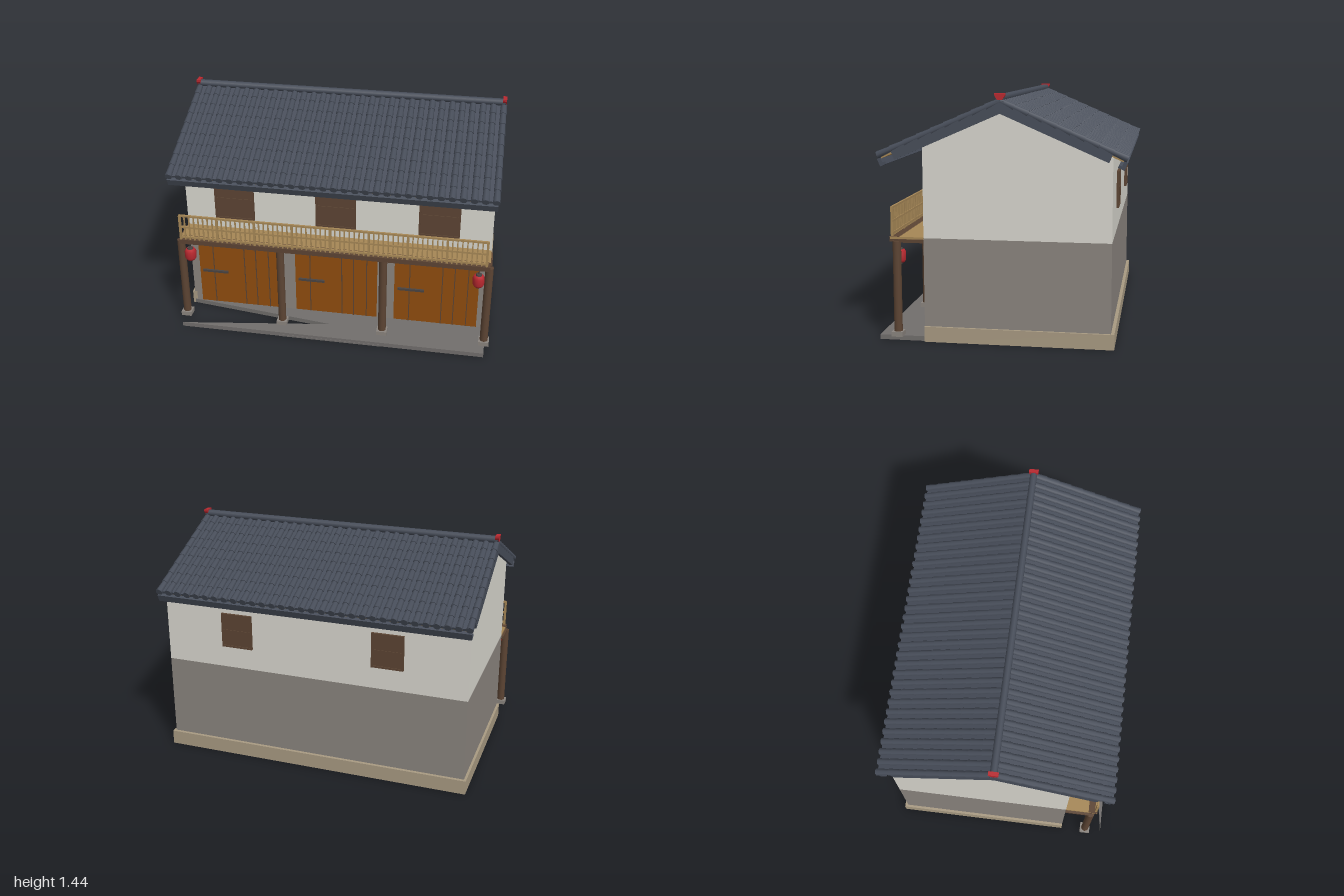
import * as THREE from 'three';
import { mergeGeometries } from 'three/addons/utils/BufferGeometryUtils.js';

const mat = (name, color, side = THREE.FrontSide) => {
  const m = new THREE.MeshStandardMaterial({ color, side });
  m.name = name;
  return m;
};

export function createModel() {
  const plaster = mat('plaster', 0xd8d6ce);
  const stone = mat('grey stone', 0x8a847e);
  const tan = mat('tan plinth stone', 0xa89a82);
  const paving = mat('paving', 0x716e6c);
  const tile = mat('slate tile', 0x474d59);
  const wood = mat('dark wood', 0x5c4433);
  const orange = mat('door wood', 0x8f4c0e);
  const ochre = mat('ochre wood', 0xa68756);
  const red = mat('red lacquer', 0xb8282f);
  const iron = mat('iron', 0x4a4442);

  const model = new THREE.Group();
  model.name = 'house';

  const add = (name, geometry, material, parent = model) => {
    const m = new THREE.Mesh(geometry, material);
    m.name = name;
    parent.add(m);
    return m;
  };
  // Box given by its limits on each axis
  const span = (x0, x1, y0, y1, z0, z1) =>
    new THREE.BoxGeometry(x1 - x0, y1 - y0, z1 - z0)
      .translate((x0 + x1) / 2, (y0 + y1) / 2, (z0 + z1) / 2);
  const outline = (pts) => new THREE.Shape(pts.map(([a, b]) => new THREE.Vector2(a, b)));
  const extrude = (shape, depth) => new THREE.ExtrudeGeometry(shape, { depth, bevelEnabled: false });
  // Profile of [z, y] points swept along x, centred on x = 0
  const sweepX = (pts, length) =>
    extrude(outline(pts), length).rotateY(-Math.PI / 2).translate(length / 2, 0, 0);
  // Plan of [x, z] points, standing on y = 0
  const slab = (pts, height) =>
    extrude(outline(pts), height).rotateX(Math.PI / 2).translate(0, height, 0);

  const W = 0.97, BACK = -0.63, FRONT = 0.45, PITCH = 0.435;
  const doorX = [-0.65, -0.005, 0.642];
  const columnX = [-0.97, -0.33, 0.32, 0.965];

  // Ground floor and terrace, each with a wedge left open on the right-hand end
  add('groundFloor', slab([[-W, BACK], [W, BACK], [W, FRONT], [-W, FRONT], [-0.03, -0.08]], 0.008), wood);
  add('terrace', slab([[-W, FRONT], [W, FRONT], [W, 0.72], [-W, 0.72], [-0.02, 0.58]], 0.028), paving);
  add('step', span(-0.33, 0.32, 0, 0.012, 0.66, 0.722), paving);

  // Plinth
  add('plinth', mergeGeometries([
    span(-0.985, 0.985, 0, 0.09, -0.65, BACK),
    span(-0.985, -0.955, 0, 0.09, BACK, FRONT),
    span(0.955, 0.985, 0, 0.09, BACK, FRONT),
  ]), tan);

  // Lower walls, the front one with three door openings
  add('lowerWalls', mergeGeometries([
    span(-W, W, 0.01, 0.61, BACK, BACK + 0.02),
    span(-W, -W + 0.02, 0.01, 0.61, BACK + 0.02, FRONT),
    span(W - 0.02, W, 0.01, 0.61, BACK + 0.02, FRONT),
  ]), stone);
  const front = outline([[-W, 0], [W, 0], [W, 0.61], [-W, 0.61]]);
  for (const x of doorX) {
    front.holes.push(new THREE.Path([
      [x - 0.268, 0.03], [x - 0.268, 0.515], [x + 0.268, 0.515], [x + 0.268, 0.03],
    ].map(([a, b]) => new THREE.Vector2(a, b))));
  }
  add('frontWall', extrude(front, 0.02).translate(0, 0, FRONT - 0.02), stone);
  add('doorLintel', span(-0.95, 0.95, 0.515, 0.56, FRONT, FRONT + 0.008), wood);

  // Upper storey with gables
  const roofY = (z) => 1.362 - PITCH * Math.abs(z);
  add('upperWalls', sweepX([
    [BACK, 0.61], [FRONT, 0.61], [FRONT, roofY(FRONT)], [0, roofY(0)], [BACK, roofY(BACK)],
  ], 2 * W), plaster);

  // Doors with plank seams and latch bars
  for (const x of doorX) {
    const door = new THREE.Group();
    door.name = 'door';
    door.position.x = x;
    model.add(door);
    add('doorPanel', span(-0.268, 0.268, 0.03, 0.515, FRONT - 0.02, FRONT + 0.002), orange, door);
    add('doorSeams', mergeGeometries([-0.17, 0.038, 0.115, 0.2].map((s) =>
      span(s - 0.003, s + 0.003, 0.03, 0.515, FRONT + 0.002, FRONT + 0.006))), wood, door);
    add('latchBar', span(-0.245, -0.075, 0.265, 0.28, FRONT + 0.002, FRONT + 0.015), iron, door);
  }

  // Shutters: board, frame rails
  const shutter = (name, x, y0, y1, half, turn) => {
    const g = new THREE.Group();
    g.name = name;
    g.position.set(x, 0, turn ? BACK : FRONT);
    g.rotation.y = turn;
    model.add(g);
    const mid = (y0 + y1) / 2;
    add('shutterBoard', span(-half, half, y0, y1, 0, 0.01), wood, g);
    add('shutterFrame', mergeGeometries([
      span(-half, half, y1 - 0.012, y1, 0.01, 0.015),
      span(-half, half, y0, y0 + 0.012, 0.01, 0.015),
      span(-half, half, mid - 0.005, mid + 0.005, 0.01, 0.014),
      span(-half, -half + 0.012, y0, y1, 0.01, 0.015),
      span(half - 0.012, half, y0, y1, 0.01, 0.015),
    ]), wood, g);
  };
  for (const x of [-0.652, -0.003, 0.643]) shutter('frontShutter', x, 0.685, 0.97, 0.127, 0);
  for (const x of [-0.48, 0.49]) shutter('backShutter', x, 0.75, 0.97, 0.1, Math.PI);

  // Porch columns on stone bases
  for (const x of columnX) {
    add('column', new THREE.CylinderGeometry(0.025, 0.025, 0.54, 12).translate(x, 0.32, 0.61), wood);
    add('columnBase', span(x - 0.033, x + 0.033, 0.026, 0.055, 0.577, 0.643), stone);
  }

  // Balcony deck, beams and railing
  add('balconyDeck', span(-W, W, 0.6, 0.614, FRONT, 0.65), ochre);
  add('balconyBeam', span(-W, W, 0.585, 0.615, 0.595, 0.652), wood);
  add('crossBeams', mergeGeometries(columnX.map((x) =>
    span(x - 0.015, x + 0.015, 0.582, 0.601, FRONT, 0.6))), wood);
  const rail = [0.782, 0.703, 0.632].map((y) => span(-0.96, 0.955, y - 0.006, y + 0.006, 0.635, 0.648));
  for (let i = 0; i <= 64; i++) {
    const x = -0.955 + i * 0.0297;
    const r = i % 8 === 0 ? 0.007 : 0.004;
    rail.push(span(x - r, x + r, 0.612, 0.782, 0.642 - r, 0.642 + r));
  }
  add('balconyRailing', mergeGeometries(rail), ochre);

  // Lanterns hung beside the outer columns
  for (const x of [-0.915, 0.905]) {
    add('lantern', new THREE.LatheGeometry([
      [0, 0.45], [0.027, 0.452], [0.036, 0.468], [0.037, 0.512], [0.027, 0.528], [0, 0.53],
    ].map(([r, y]) => new THREE.Vector2(r, y)), 12).translate(x, 0, 0.61), red);
    add('lanternCap', new THREE.CylinderGeometry(0.017, 0.02, 0.012, 10).translate(x, 0.532, 0.61), iron);
    add('lanternCord', new THREE.CylinderGeometry(0.003, 0.003, 0.06, 5).translate(x, 0.56, 0.61), iron);
    add('lanternFoot', new THREE.CylinderGeometry(0.016, 0.014, 0.012, 10).translate(x, 0.447, 0.61), iron);
  }

  // Roof slopes, built flat with +z running down to the eave
  const ribs = [];
  const COUNT = 32, COURSES = 9, LEN = 0.775, step = LEN / COURSES;
  for (let i = 0; i < COUNT; i++) {
    const x = -0.973 + i * (1.946 / (COUNT - 1));
    for (let j = 0; j < COURSES; j++) {
      ribs.push(new THREE.CylinderGeometry(0.018, 0.022, step, 8)
        .rotateX(-Math.PI / 2).translate(x, 0, (j + 0.5) * step));
    }
  }
  // Cylinder axes were turned to -z, so the wide end of each tile faces the eave
  const ribGeometry = mergeGeometries(ribs);
  for (const turn of [0, Math.PI]) {
    const side = new THREE.Group();
    side.name = turn ? 'backRoof' : 'frontRoof';
    side.rotation.y = turn;
    model.add(side);
    const slope = new THREE.Group();
    slope.name = 'slope';
    slope.position.y = 1.395;
    slope.rotation.x = Math.atan(PITCH);
    side.add(slope);
    add('tileRibs', ribGeometry, tile, slope);
    add('tileBed', span(-0.985, 0.985, -0.016, 0, 0, 0.765), tile, slope);
    add('soffit', span(-0.98, 0.98, -0.026, -0.016, 0, 0.76), ochre, slope);
    for (const s of [-1, 1]) {
      add('bargeBoard', span(-0.012, 0.012, -0.062, -0.005, -0.02, 0.69).translate(s * 0.978, 0, 0), tile, slope);
    }
    add('gutter', mergeGeometries([
      span(-0.985, 0.985, -0.062, -0.02, 0.762, 0.784),
      span(-0.985, 0.985, -0.066, -0.05, 0.744, 0.784),
    ]), tile, slope);
  }

  // Ridge and its red end pieces
  add('ridge', new THREE.CylinderGeometry(0.022, 0.022, 1.97, 10).rotateZ(Math.PI / 2).translate(0, 1.413, 0), tile);
  for (const s of [-1, 1]) {
    add('ridgeEnd', sweepX([[-0.014, 1.403], [0.014, 1.403], [0.03, 1.428], [0.03, 1.44], [-0.03, 1.44], [-0.03, 1.428]], 0.024)
      .translate(s * 0.978, 0, 0), red);
  }
  return model;
}
